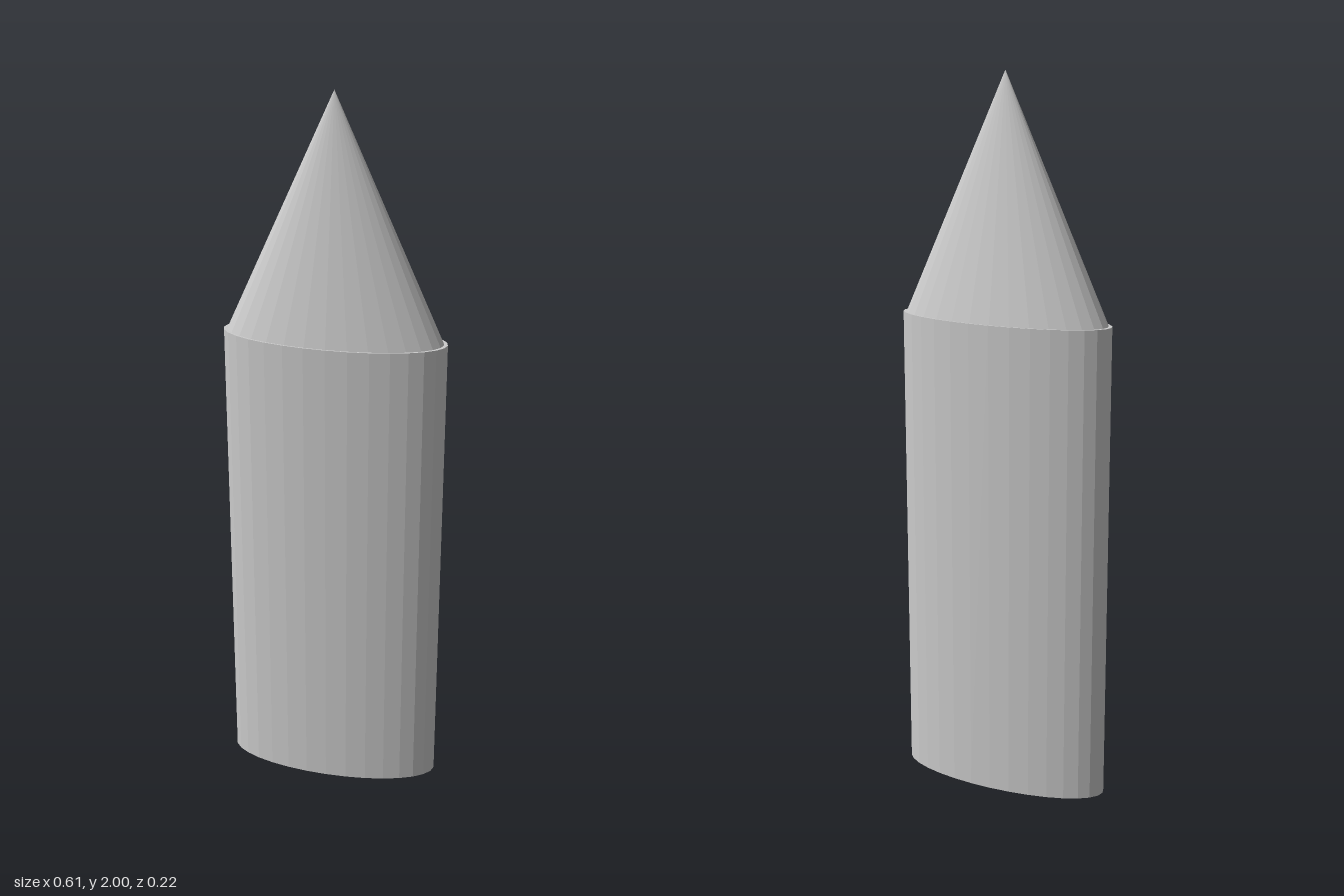
import * as THREE from 'three';

const SIDES = 32;
const BODY_HEIGHT = 1.35;
const TOTAL_HEIGHT = 2;

export function createModel() {
  const group = new THREE.Group();
  group.name = 'pointedPost';
  const material = new THREE.MeshStandardMaterial({ color: 0xcccccc, flatShading: true });

  // Adds a faceted upright part with an elliptical cross-section
  function addPart(name, geometry, rx, rz, bottom, height) {
    geometry.scale(rx, height, rz).translate(0, bottom + height / 2, 0);
    const mesh = new THREE.Mesh(geometry, material);
    mesh.name = name;
    group.add(mesh);
  }

  // Flattened post
  addPart('body', new THREE.CylinderGeometry(1, 1, 1, SIDES), 0.305, 0.109, 0, BODY_HEIGHT);

  // Pointed tip, set in slightly to leave a thin ledge
  addPart('tip', new THREE.ConeGeometry(1, 1, SIDES, 1, true), 0.295, 0.105, BODY_HEIGHT, TOTAL_HEIGHT - BODY_HEIGHT);

  return group;
}
